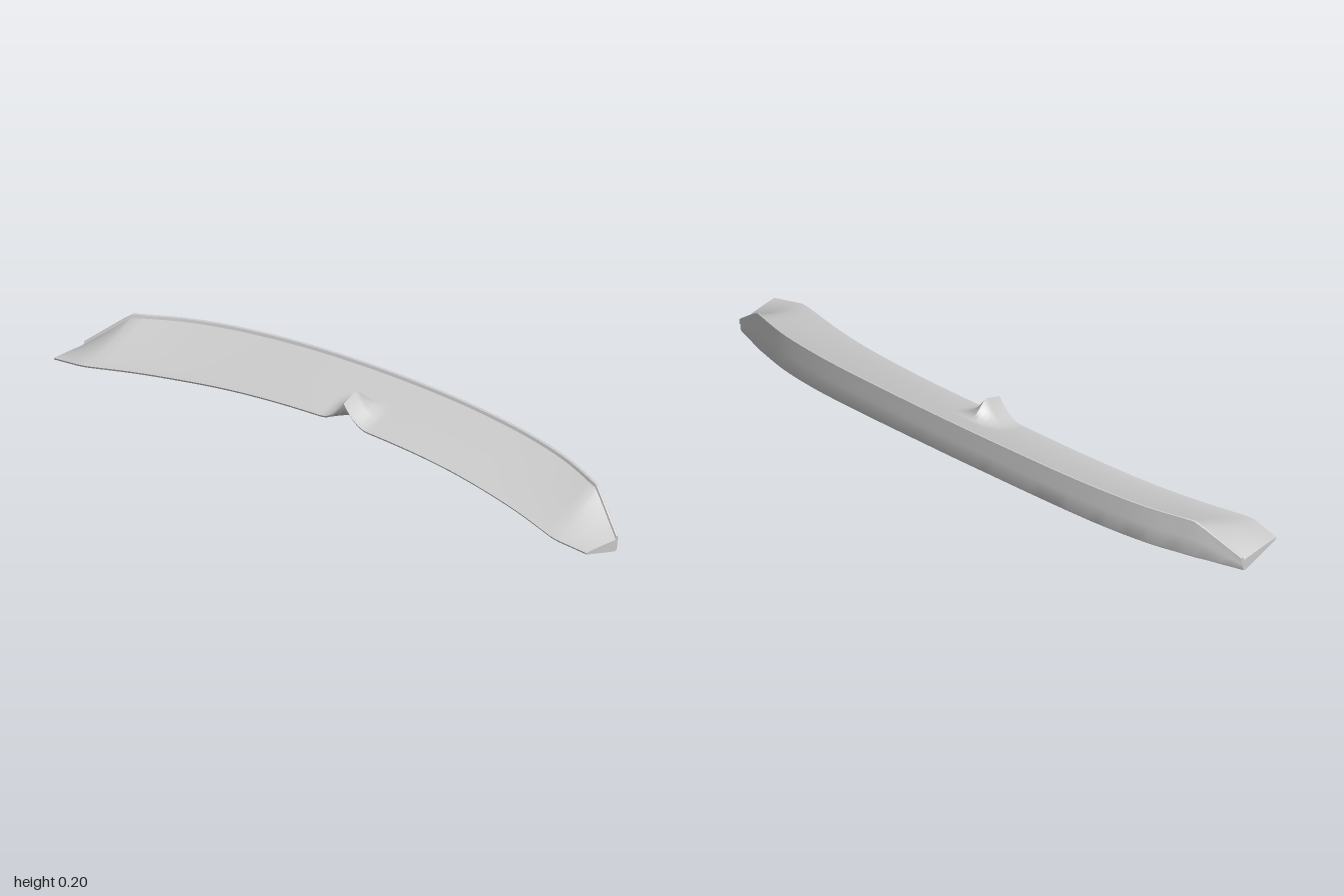
import * as THREE from 'three';
import { toCreasedNormals } from 'three/addons/utils/BufferGeometryUtils.js';

const { lerp, clamp } = THREE.MathUtils;

// Section keys at even steps of x from 0 to KINK: [front z, front y, back z, back bottom y, rim top y]
const KINK = 0.87;
const KEYS = [
  [0.050, 0.114, -0.176, 0.068, 0.197],
  [0.053, 0.112, -0.174, 0.067, 0.196],
  [0.060, 0.107, -0.168, 0.063, 0.193],
  [0.074, 0.100, -0.157, 0.056, 0.187],
  [0.096, 0.090, -0.138, 0.046, 0.179],
  [0.128, 0.081, -0.107, 0.035, 0.168],
  [0.170, 0.071, -0.056, 0.022, 0.155],
];
// Corner of the wing, where the rim drops to the tip
const TIP = [
  [0.87, KEYS[6]],
  [0.90, [0.175, 0.069, -0.041, 0.018, 0.133]],
  [1.00, [0.163, 0.053, 0.010, 0.002, 0.050]],
];
// Ridge line of the centre fin: [z, y]
const RIDGE = [[-0.10, 0.12], [-0.06, 0.156], [-0.012, 0.2], [0.04, 0.182], [0.06, 0.177]];

function sectionKeys(x) {
  if (x >= KINK) {
    const i = x < TIP[1][0] ? 0 : 1;
    const [xa, a] = TIP[i], [xb, b] = TIP[i + 1];
    return a.map((v, k) => lerp(v, b[k], (x - xa) / (xb - xa)));
  }
  const u = (x / KINK) * (KEYS.length - 1), i = Math.floor(u), t = u - i;
  const key = (n, k) => (n < KEYS.length ? KEYS[Math.abs(n)][k] : 2 * KEYS[6][k] - KEYS[5][k]);
  return KEYS[0].map((_, k) => {
    const [a, b, c, d] = [-1, 0, 1, 2].map((o) => key(i + o, k));
    return b + 0.5 * t * (c - a + t * (2 * a - 5 * b + 4 * c - d + t * (3 * (b - c) + d - a)));
  });
}

function ridgeY(z) {
  for (let i = 0; i < RIDGE.length - 1; i++) {
    const [za, ya] = RIDGE[i], [zb, yb] = RIDGE[i + 1];
    if (z >= za && z <= zb) return lerp(ya, yb, (z - za) / (zb - za));
  }
  return 0;
}

// Closed cross-section as [z, y], running front, underside, back, rim, top
function section(x) {
  const [zf, yf, zb, yb, yt] = sectionKeys(Math.abs(x));
  const fall = Math.pow(clamp(1 - Math.abs(x) / 0.095, 0, 1), 2.3);
  const lift = (z, y) => fall * Math.max(0, ridgeY(z) - y);
  const wall = zb + 0.005;
  const rim = Math.min(0.02, (yt - yb) * 0.4);
  const pts = [];
  // Underside, hollowed below the fin
  const lip = yf - 0.006;
  for (let i = 0; i <= 12; i++) {
    const t = i / 12;
    const z = lerp(zf - 0.003, wall + 0.012, t);
    pts.push([z, lerp(lip, yb + 0.001, t) + lift(zf, yf) * Math.pow(1 - t, 3)]);
  }
  // Back wall and raised rim
  pts.push([wall + 0.003, yb + 0.003], [wall, yb + 0.009]);
  pts.push([wall - 0.001, (yb + yt) / 2], [wall, yt - rim]);
  pts.push([zb, yt - rim + 0.001], [zb, yt - 0.001], [zb + 0.002, yt]);
  pts.push([zb + 0.008, yt - 0.002]);
  // Concave top, rising into the fin at the centre
  const z0 = zb + 0.011, y0 = yt - 0.011;
  for (let i = 0; i <= 24; i++) {
    const s = i / 24, z = lerp(z0, zf, s);
    const y = yf + (y0 - yf) * Math.pow(1 - s, 1.3);
    pts.push([z, y + lift(z, y)]);
  }
  return pts;
}

function loft(stations) {
  const rings = stations.map(section), n = rings[0].length;
  const positions = [], index = [];
  rings.forEach((ring, i) => ring.forEach(([z, y]) => positions.push(stations[i], y, z)));
  for (let i = 0; i < rings.length - 1; i++) {
    for (let j = 0; j < n; j++) {
      const a = i * n + j, c = i * n + ((j + 1) % n), b = a + n, d = c + n;
      index.push(a, c, b, b, c, d);
    }
  }
  // Flat tips
  const outline = rings[0].map(([z, y]) => new THREE.Vector2(-z, y));
  const last = (rings.length - 1) * n;
  for (const [a, b, c] of THREE.ShapeUtils.triangulateShape(outline, [])) {
    index.push(a, c, b, last + a, last + b, last + c);
  }
  const geometry = new THREE.BufferGeometry();
  geometry.setAttribute('position', new THREE.Float32BufferAttribute(positions, 3));
  geometry.setIndex(index);
  return toCreasedNormals(geometry, 0.6);
}

export function createModel() {
  const group = new THREE.Group();
  group.name = 'spoiler';

  // Stations are closer together across the fin
  const half = [];
  for (let i = 1; i <= 16; i++) half.push(0.1 * Math.pow(i / 16, 1.3));
  for (let i = 1; i <= 22; i++) half.push(lerp(0.1, KINK, i / 22));
  half.push(0.885, 0.9, 0.933, 0.967, 1);
  const stations = [...half.map((x) => -x).reverse(), 0, ...half];

  const material = new THREE.MeshStandardMaterial({ color: 0xcccccc, side: THREE.DoubleSide });
  const blade = new THREE.Mesh(loft(stations), material);
  blade.name = 'spoilerBladeWithCentreFin';
  group.add(blade);
  return group;
}
